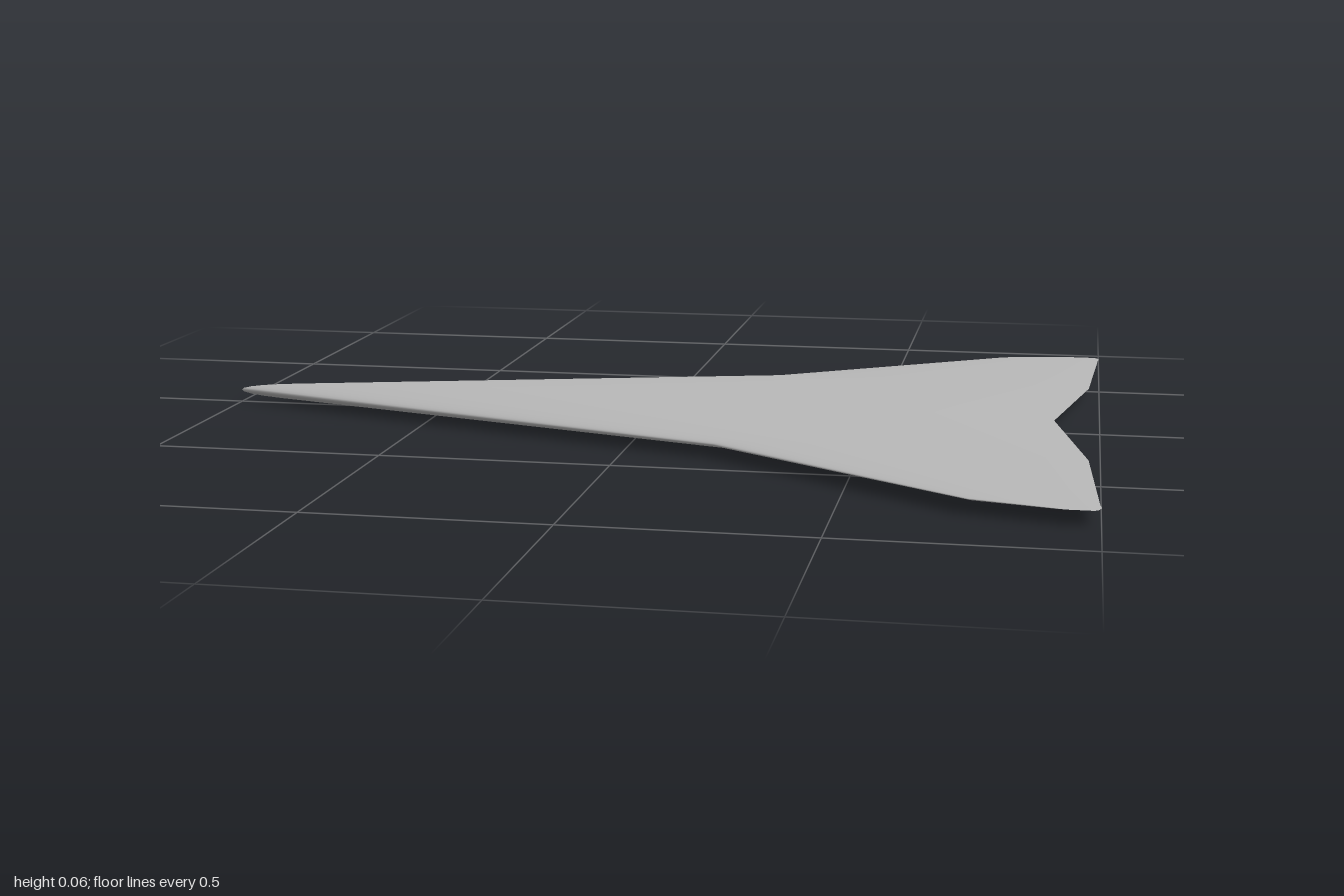
import * as THREE from 'three';

// Half span stations: z, leading edge x, trailing edge x, thickness / chord
const stations = [
  [0, -1, 0.9, 0.0295],
  [0.39, 0.2, 0.975, 0.0295],
  [0.768, 0.75, 0.997, 0.0295],
  [0.792, 0.845, 1.0, 0.0295],
  [0.808, 0.907, 0.995, 0.0295],
  [0.815, 0.935, 0.987, 0],
];
const STEPS = 28;
const MID_Y = 0.028;

// Symmetric aerofoil half thickness with a closed trailing edge
const halfThickness = (u) =>
  5 * (0.2969 * Math.sqrt(u) - 0.126 * u - 0.3516 * u ** 2 + 0.2843 * u ** 3 - 0.1036 * u ** 4);

function wingGeometry() {
  const mirrored = stations.slice(1).reverse().map(([z, ...rest]) => [-z, ...rest]);
  const sections = [...mirrored, ...stations];
  const positions = [];
  const indices = [];
  const row = 2 * STEPS + 1;

  sections.forEach(([z, lead, trail, ratio], i) => {
    const chord = trail - lead;
    // From the trailing edge over the top, round the nose and back underneath
    for (let j = 0; j < row; j++) {
      const angle = (Math.PI * j) / STEPS;
      const u = (1 + Math.cos(angle)) / 2;
      const side = j <= STEPS ? 1 : -1;
      const y = side * Math.max(0, halfThickness(u)) * ratio * chord;
      positions.push(lead + u * chord, MID_Y + y, z);
      if (i < sections.length - 1 && j < row - 1) {
        const a = i * row + j;
        indices.push(a, a + 1, a + row, a + 1, a + row + 1, a + row);
      }
    }
  });

  const geometry = new THREE.BufferGeometry();
  geometry.setAttribute('position', new THREE.Float32BufferAttribute(positions, 3));
  geometry.setIndex(indices);
  geometry.computeVertexNormals();
  return geometry;
}

export function createModel() {
  const group = new THREE.Group();
  group.name = 'deltaWing';
  const grey = new THREE.MeshStandardMaterial({ color: 0xb8b8b8 });
  grey.name = 'light grey';
  const wing = new THREE.Mesh(wingGeometry(), grey);
  wing.name = 'wing';
  group.add(wing);
  return group;
}
